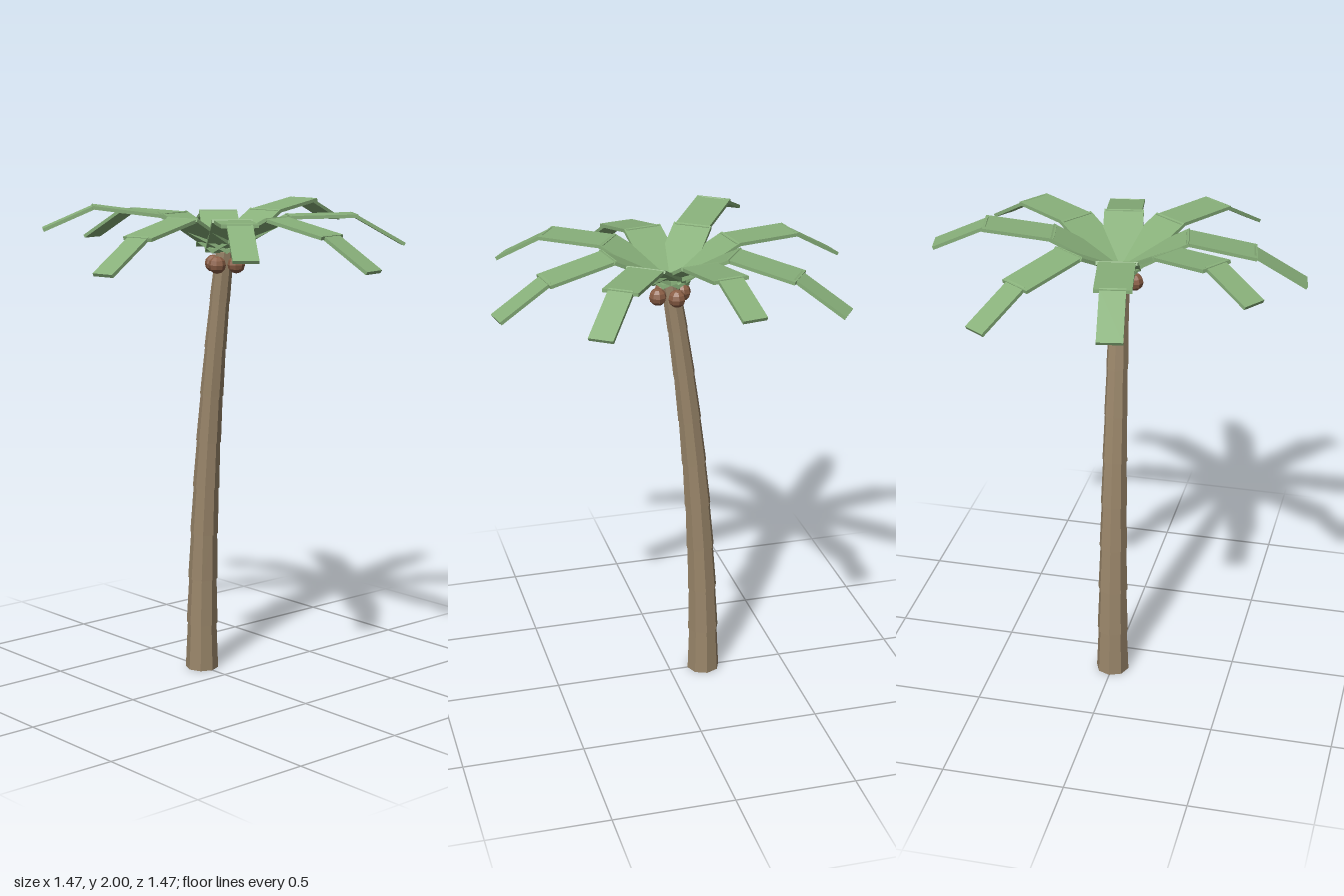
import * as THREE from 'three';

const mat = (name, color) => {
  const m = new THREE.MeshStandardMaterial({ color, flatShading: true });
  m.name = name;
  return m;
};

export function createModel() {
  const bark = mat('bark', 0x9a866a);
  const leaf = mat('leaf', 0x88b07a);
  const husk = mat('husk', 0x8a5e45);

  const palm = new THREE.Group();
  palm.name = 'palmTree';

  // Trunk: stacked tapered rings following a gentle bend
  const trunk = new THREE.Group();
  trunk.name = 'trunk';
  palm.add(trunk);
  const rings = 9, height = 1.8;
  const bend = (t) => new THREE.Vector2(-0.15 + 0.15 * t * t, height * t);
  for (let i = 0; i < rings; i++) {
    const a = bend(i / rings), b = bend((i + 1) / rings);
    const r = 0.07 - 0.0035 * i;
    const ring = new THREE.Mesh(
      new THREE.CylinderGeometry(r * 0.88, r, a.distanceTo(b) + 0.004, 8), bark);
    ring.name = 'trunkRing';
    ring.position.set((a.x + b.x) / 2, (a.y + b.y) / 2 + 0.002, 0);
    ring.rotation.z = -Math.atan2(b.x - a.x, b.y - a.y);
    trunk.add(ring);
  }

  // Coconuts: four around the trunk top
  for (let i = 0; i < 4; i++) {
    const a = THREE.MathUtils.degToRad(-15 + 90 * i);
    const nut = new THREE.Mesh(new THREE.SphereGeometry(0.036, 8, 6), husk);
    nut.name = 'coconut';
    nut.position.set(0.056 * Math.cos(a), 1.752, 0.056 * Math.sin(a));
    palm.add(nut);
  }

  // Fronds: three jointed slabs each, in three repeating droops.
  // Points are (distance from centre, height) along each frond.
  const droops = [
    [[0, 1.81], [0.265, 1.945], [0.53, 1.89], [0.73, 1.768]],
    [[0, 1.81], [0.265, 1.943], [0.53, 1.947], [0.73, 1.833]],
    [[0, 1.81], [0.265, 1.953], [0.53, 1.988], [0.73, 1.902]],
  ];
  const widths = [0.16, 0.145, 0.1];
  for (let i = 0; i < 8; i++) {
    const frond = new THREE.Group();
    frond.name = 'frond';
    frond.rotation.y = THREE.MathUtils.degToRad(10 + 45 * i);
    const pts = droops[i % 3];
    widths.forEach((w, k) => {
      const [x0, y0] = pts[k], [x1, y1] = pts[k + 1];
      const slab = new THREE.Mesh(
        new THREE.BoxGeometry(Math.hypot(x1 - x0, y1 - y0) + 0.015, 0.014, w), leaf);
      slab.name = ['frondBase', 'frondMiddle', 'frondTip'][k];
      slab.position.set((x0 + x1) / 2, (y0 + y1) / 2, 0);
      slab.rotation.z = Math.atan2(y1 - y0, x1 - x0);
      frond.add(slab);
    });
    palm.add(frond);
  }

  return palm;
}
